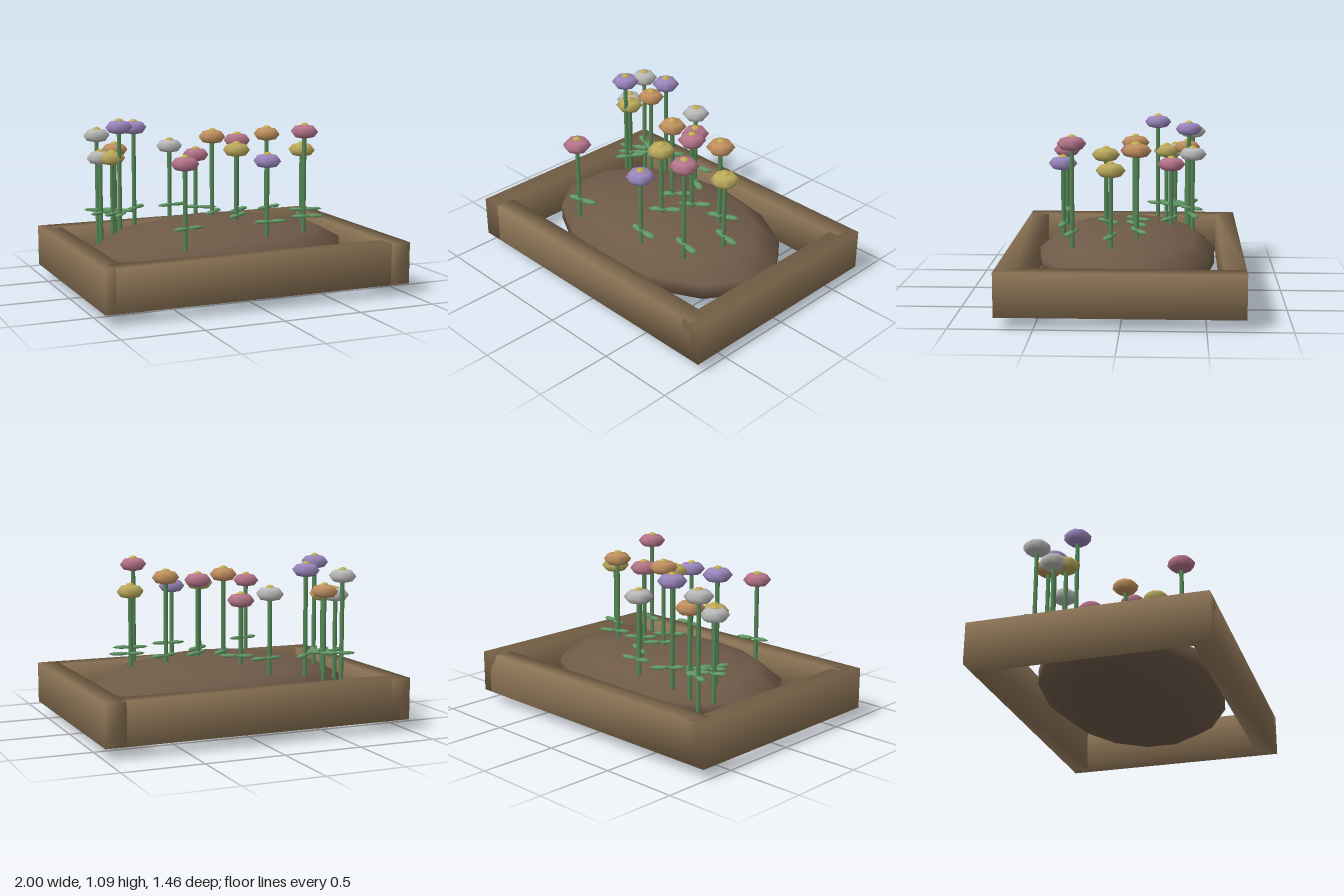
import * as THREE from 'three';
import { mergeVertices } from 'three/addons/utils/BufferGeometryUtils.js';

const mat = (color) => new THREE.MeshStandardMaterial({ color });
const WOOD = mat(0x8b7355), SOIL = mat(0x6f5a48), STEM = mat(0x568a58), LEAF = mat(0x629a66), CENTRE = mat(0xc4b050);
const PETALS = {
  pink: mat(0xb5748a), purple: mat(0x9a86bc), yellow: mat(0xbaa95c), orange: mat(0xc08f5e), white: mat(0xb9b9b7),
};

// Mound ellipsoid: centre height and radii
const MOUND = { y: 0.2325, rx: 0.867, ry: 0.2275, rz: 0.58 };

// colour, x, z, head height, leaf direction (x, z)
const FLOWERS = [
  ['white', -0.17, -0.425, 0.874, 0.14, -0.02],
  ['white', -0.674, -0.43, 0.966, 0.12, 0.05],
  ['white', -0.69, -0.31, 0.835, 0.12, -0.06],
  ['orange', -0.567, -0.39, 0.87, 0.08, 0.08],
  ['purple', -0.43, -0.4, 1.01, 0.08, -0.08],
  ['yellow', -0.63, -0.25, 0.835, 0.1, -0.08],
  ['purple', -0.6, -0.19, 1.04, 0.06, -0.1],
  ['pink', -0.037, -0.285, 0.825, 0.12, 0.06],
  ['orange', -0.016, -0.055, 0.968, 0.075, -0.08],
  ['pink', 0.16, -0.055, 0.938, 0.09, -0.07],
  ['orange', 0.385, -0.078, 0.966, 0.12, -0.055],
  ['yellow', 0.567, 0.073, 0.87, 0.138, 0.03],
  ['yellow', 0.075, 0.13, 0.9, 0.09, -0.075],
  ['pink', 0.462, 0.315, 1.018, 0.14, 0.03],
  ['purple', 0.166, 0.395, 0.857, 0.13, 0.01],
  ['pink', -0.39, 0.42, 0.87, 0.13, -0.03],
];

function add(parent, name, geometry, material, x = 0, y = 0, z = 0) {
  const mesh = new THREE.Mesh(geometry, material);
  mesh.name = name;
  mesh.position.set(x, y, z);
  parent.add(mesh);
  return mesh;
}

// Box with normals shared across its corners, for softly shaded timber
function softBox(w, h, d) {
  const g = new THREE.BoxGeometry(w, h, d);
  g.deleteAttribute('normal');
  g.deleteAttribute('uv');
  const merged = mergeVertices(g);
  merged.computeVertexNormals();
  return merged;
}

const ellipsoid = (rx, ry, rz, w, h) => new THREE.SphereGeometry(1, w, h).scale(rx, ry, rz);

const headGeo = ellipsoid(0.09, 0.047, 0.09, 8, 4);
const centreGeo = ellipsoid(0.032, 0.026, 0.032, 6, 4);
const leafGeo = ellipsoid(0.065, 0.012, 0.026, 6, 4);

function createFlower([colour, x, z, top, dx, dz]) {
  const flower = new THREE.Group();
  flower.name = colour + 'Flower';
  flower.position.set(x, 0, z);

  // Stem rooted just under the mound surface
  const k = 1 - (x / MOUND.rx) ** 2 - (z / MOUND.rz) ** 2;
  const base = MOUND.y + MOUND.ry * Math.sqrt(Math.max(k, 0)) - 0.015;
  add(flower, 'stem', new THREE.CylinderGeometry(0.014, 0.014, top - base, 6), STEM, 0, (top + base) / 2, 0);

  // Long leaf on one side, shorter reach on the other
  const angle = Math.atan2(-dz, dx);
  for (const offset of [0.075, -0.025]) {
    const leaf = add(flower, 'leaf', leafGeo, LEAF, Math.cos(angle) * offset, 0.475, -Math.sin(angle) * offset);
    leaf.rotation.y = angle;
  }

  add(flower, 'flowerHead', headGeo, PETALS[colour], 0, top, 0);
  add(flower, 'flowerCentre', centreGeo, CENTRE, 0, top + 0.031, 0);
  return flower;
}

export function createModel() {
  const model = new THREE.Group();
  model.name = 'flowerBed';

  // Timber frame
  const frame = new THREE.Group();
  frame.name = 'frame';
  model.add(frame);
  const longBoard = softBox(1.87, 0.265, 0.13);
  const sideBoard = softBox(0.13, 0.265, 1.46);
  for (const s of [1, -1]) {
    add(frame, s > 0 ? 'frontBoard' : 'backBoard', longBoard, WOOD, 0, 0.2075, s * 0.665);
    add(frame, s > 0 ? 'leftBoard' : 'rightBoard', sideBoard, WOOD, s * 0.935, 0.2075, 0);
  }

  // Soil mound, with a vertex column on the z axis
  const soil = new THREE.SphereGeometry(1, 14, 7).rotateY(Math.PI / 2).scale(MOUND.rx, MOUND.ry, MOUND.rz);
  add(model, 'soilMound', soil, SOIL, 0, MOUND.y, 0);

  // Flowers
  const flowers = new THREE.Group();
  flowers.name = 'flowers';
  FLOWERS.forEach((f) => flowers.add(createFlower(f)));
  model.add(flowers);
  return model;
}
